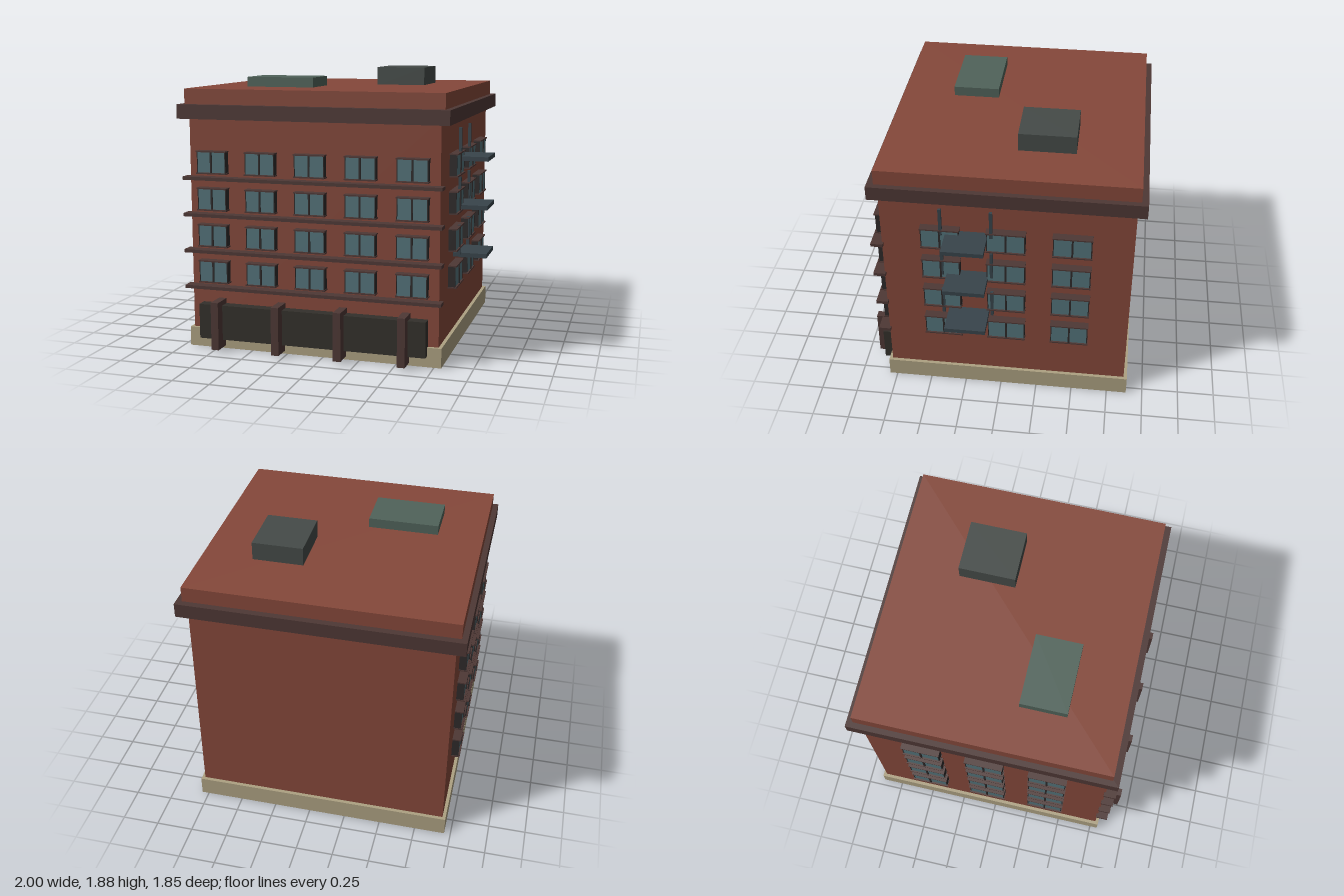
import * as THREE from 'three';

const mat = (color) => new THREE.MeshStandardMaterial({ color });
const brick = mat(0x85483a), trim = mat(0x4e3835), stone = mat(0xada182), glass = mat(0x54737a),
  frame = mat(0x2e2a2a), shop = mat(0x33302b), iron = mat(0x38444b),
  skylightMat = mat(0x50635a), plantMat = mat(0x454b48);

// Box given by its limits on each axis
function box(parent, name, material, [x0, x1], [y0, y1], [z0, z1]) {
  const mesh = new THREE.Mesh(new THREE.BoxGeometry(x1 - x0, y1 - y0, z1 - z0), material);
  mesh.position.set((x0 + x1) / 2, (y0 + y1) / 2, (z0 + z1) / 2);
  mesh.name = name;
  parent.add(mesh);
  return mesh;
}

// Projecting window; the wall is at local z = 0, the sill at y = 0
function makeWindow(width) {
  const g = new THREE.Group(), w = width / 2;
  g.name = 'window';
  box(g, 'windowGlass', glass, [-w, w], [0, 0.145], [-0.01, 0.047]);
  box(g, 'mullion', frame, [-0.006, 0.006], [0.002, 0.143], [0, 0.055]);
  for (const s of [-1, 1]) {
    box(g, 'windowJamb', frame, [s * w - 0.003, s * w + 0.003], [0, 0.145], [0, 0.049]);
  }
  box(g, 'windowSill', trim, [-w - 0.007, w + 0.007], [-0.004, 0.005], [0, 0.058]);
  box(g, 'windowLintel', trim, [-w - 0.007, w + 0.007], [0.141, 0.15], [0, 0.058]);
  return g;
}

export function createModel() {
  const building = new THREE.Group();
  building.name = 'apartmentBuilding';
  const left = -0.935, right = 0.775, front = 0.78, back = -0.863;

  // Main masses
  box(building, 'walls', brick, [left, right], [0.01, 1.6], [back, front]);
  box(building, 'plinth', stone, [-0.957, 0.798], [0, 0.13], [-0.887, 0.803]);
  box(building, 'cornice', trim, [-1, 0.84], [1.56, 1.655], [-0.923, 0.838]);
  box(building, 'parapet', brick, [-0.963, 0.802], [1.65, 1.757], [-0.88, 0.793]);

  // Roof structures
  box(building, 'skylight', skylightMat, [-0.658, -0.185], [1.75, 1.823], [0.127, 0.435]);
  box(building, 'roofPlant', plantMat, [0.125, 0.465], [1.75, 1.88], [-0.455, -0.08]);

  // Four storeys of windows and front ledges
  for (let floor = 0; floor < 4; floor++) {
    const y = 0.46 + floor * 0.247;
    const storey = new THREE.Group();
    storey.name = 'storey';
    building.add(storey);
    box(storey, 'ledge', trim, [-0.963, 0.802], [y - 0.046, y - 0.024], [front - 0.01, 0.852]);
    for (let i = -2; i <= 2; i++) {
      const win = makeWindow(0.198);
      win.position.set(-0.08 + i * 0.342, y, front);
      storey.add(win);
    }
    for (const side of [-1, 1]) {
      for (let i = -1; i <= 1; i++) {
        const win = makeWindow(0.244);
        win.rotation.y = side * Math.PI / 2;
        win.position.set(side > 0 ? right : left, y, -0.042 + i * 0.428);
        storey.add(win);
      }
    }
  }

  // Shopfront with posts
  box(building, 'shopfront', shop, [-0.863, 0.705], [0.073, 0.31], [front - 0.02, 0.853]);
  for (let i = 0; i < 4; i++) {
    const x = -0.722 + i * 0.4277;
    box(building, 'shopfrontPost', trim, [x - 0.026, x + 0.026], [0.02, 0.345], [front, 0.923]);
  }

  // Fire escape landings with upright poles
  for (let i = 0; i < 3; i++) {
    const y = 0.636 + i * 0.325;
    box(building, 'landing', iron, [right, 1], [y, y + 0.029], [0.077, 0.35]);
    for (const z of [0.052, 0.378]) {
      box(building, 'landingPole', iron, [0.81, 0.829], [y + 0.024, y + 0.224], [z - 0.01, z + 0.01]);
    }
  }
  return building;
}
